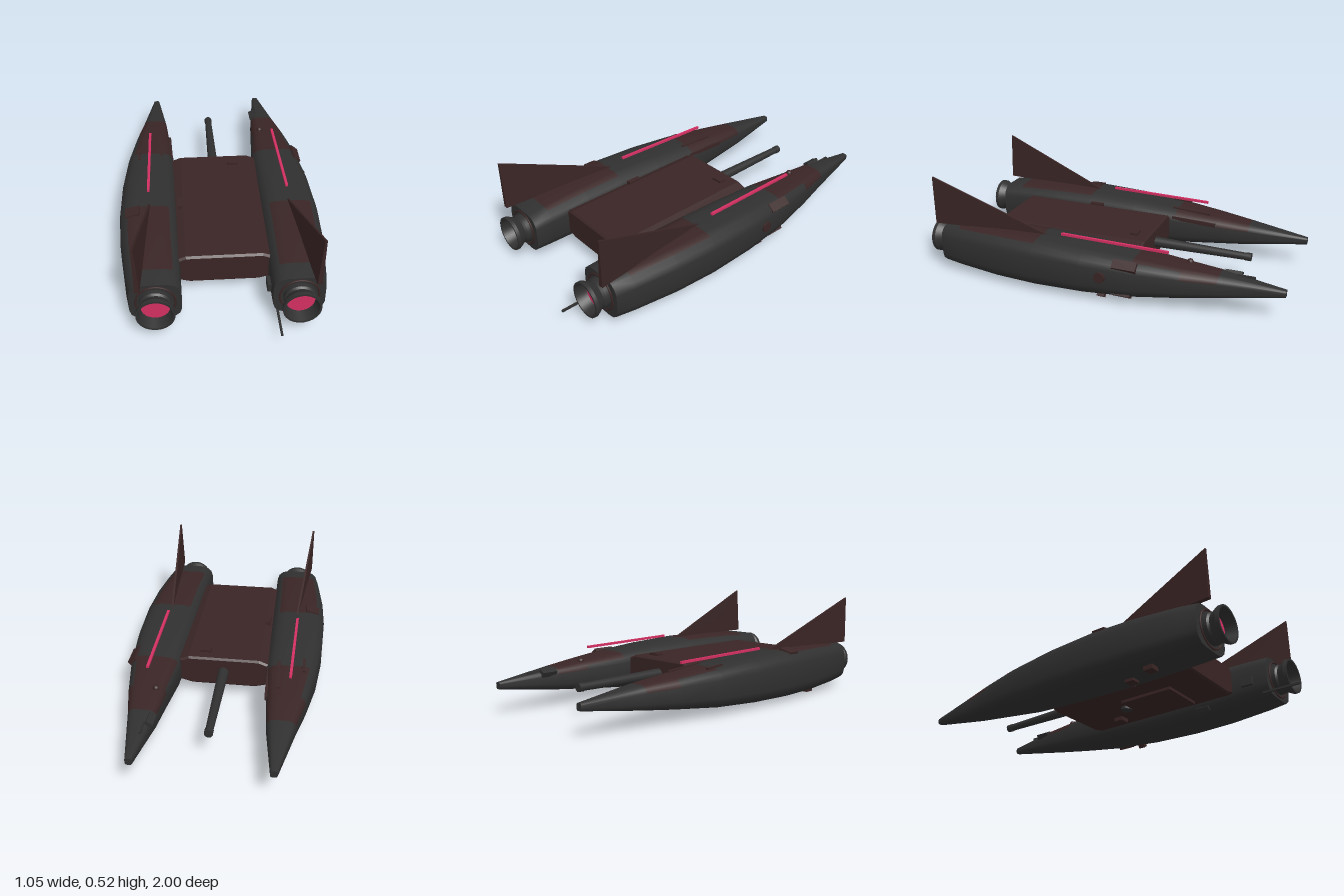
import * as THREE from 'three';
import { toCreasedNormals } from 'three/addons/utils/BufferGeometryUtils.js';

const mat = (name, color) => {
  const m = new THREE.MeshStandardMaterial({ color });
  m.name = name;
  return m;
};

// Skins a row of rings into a closed solid; s = -1 mirrors it in x. pick(i, j) gives the material index.
function loft(rings, s = 1, pick = () => 0) {
  const buckets = [[], []];
  const tri = (k, a, b, c) => {
    for (const p of s > 0 ? [a, b, c] : [a, c, b]) buckets[k].push(p[0] * s, p[1], p[2]);
  };
  const n = rings[0].length;
  for (let i = 0; i < rings.length - 1; i++) {
    for (let j = 0; j < n; j++) {
      const j2 = (j + 1) % n, k = pick(i, j);
      const [a, b, c, d] = [rings[i][j], rings[i][j2], rings[i + 1][j2], rings[i + 1][j]];
      tri(k, a, b, c);
      tri(k, a, c, d);
    }
  }
  const centre = (r) => [0, 1, 2].map((q) => r.reduce((t, p) => t + p[q], 0) / n);
  const first = rings[0], last = rings[rings.length - 1];
  for (let j = 0; j < n; j++) {
    const j2 = (j + 1) % n;
    tri(0, centre(first), first[j2], first[j]);
    tri(0, centre(last), last[j], last[j2]);
  }
  const g = new THREE.BufferGeometry();
  g.setAttribute('position', new THREE.Float32BufferAttribute(buckets.flat(), 3));
  g.addGroup(0, buckets[0].length / 3, 0);
  if (buckets[1].length) g.addGroup(buckets[0].length / 3, buckets[1].length / 3, 1);
  return toCreasedNormals(g, 0.75);
}

// Rounded-rectangle hull section with 16 points
function section([z, x0, x1, y0, y1]) {
  const cx = (x0 + x1) / 2, cy = (y0 + y1) / 2, w = (x1 - x0) / 2, h = (y1 - y0) / 2, f = 0.55;
  const pts = [];
  for (let q = 0; q < 4; q++) {
    const sx = q === 0 || q === 3 ? 1 : -1, sy = q < 2 ? 1 : -1;
    for (let k = 0; k < 4; k++) {
      const a = (q + k / 3) * Math.PI / 2;
      pts.push([cx + w * (sx * (1 - f) + f * Math.cos(a)), cy + h * (sy * (1 - f) + f * Math.sin(a)), z]);
    }
  }
  return pts;
}

export function createModel() {
  const root = new THREE.Group();
  const grey = mat('hull grey', 0x303030);
  const maroon = mat('dark maroon', 0x3a2525);
  const pink = mat('glow pink', 0xd43062);

  const add = (name, geo, m, pos = [0, 0, 0], rot = [0, 0, 0]) => {
    const mesh = new THREE.Mesh(geo, m);
    mesh.name = name;
    mesh.position.set(...pos);
    mesh.rotation.set(...rot);
    root.add(mesh);
    return mesh;
  };
  const box = (name, m, pos, size, rot) => add(name, new THREE.BoxGeometry(...size), m, pos, rot);

  // Hull stations: z, inner x, outer x, bottom y, top y
  const stations = [
    [-1, 0.312, 0.346, 0.13, 0.165],
    [-0.68, 0.268, 0.409, 0.085, 0.203],
    [-0.5, 0.253, 0.45, 0.064, 0.219],
    [-0.26, 0.23, 0.493, 0.038, 0.24],
    [0, 0.226, 0.517, 0.024, 0.257],
    [0.27, 0.223, 0.523, 0.018, 0.267],
    [0.5, 0.22, 0.511, 0.02, 0.266],
    [0.74, 0.217, 0.482, 0.03, 0.258],
    [0.84, 0.216, 0.465, 0.037, 0.25],
  ];
  // Maroon panels on the upper facets
  const panel = (i, j) =>
    (i === 1 && j <= 6) || (i === 2 && j >= 2 && j <= 5) || ((i === 5 || i === 6) && j >= 2 && j <= 4) ? 1 : 0;

  // Engine bell, open to the rear
  const bell = new THREE.LatheGeometry([
    [0, 0], [0.078, 0], [0.078, 0.025], [0.07, 0.035], [0.092, 0.075], [0.092, 0.093], [0.082, 0.093], [0.069, 0.03],
  ].map(([r, y]) => new THREE.Vector2(r, y)), 32);
  const bellGeo = toCreasedNormals(bell, 0.5);
  const bellMat = grey;
  bellMat.side = THREE.DoubleSide;

  for (const s of [1, -1]) {
    const side = s > 0 ? 'left' : 'right';
    add(side + 'Hull', loft(stations.map(section), s, panel), [grey, maroon]);

    // Engine
    add(side + 'EngineBell', bellGeo, bellMat, [s * 0.34, 0.145, 0.838], [Math.PI / 2, 0, 0]);
    add(side + 'EngineRing', new THREE.TorusGeometry(0.094, 0.005, 6, 32), maroon, [s * 0.34, 0.145, 0.842]);
    add(side + 'EngineGlow', new THREE.CircleGeometry(0.069, 32), pink, [s * 0.34, 0.145, 0.875]);

    // Canted tail fin
    const fin = [-1, 1].map((d) => [
      [0.42 + d * 0.012, 0.255, 0.89],
      [0.366 + d * 0.006, 0.262, 0.24],
      [0.427 + d * 0.005, 0.518, 0.89],
    ]);
    add(side + 'TailFin', loft(fin, s), maroon);

    // Glowing strip above the hull
    box(side + 'GlowStrip', pink, [s * 0.368, 0.28, -0.13], [0.014, 0.012, 0.58], [-0.014, s * 0.012, 0]);
  }

  // Central deck between the hulls
  const outline = [[-0.24, 0.085], [-0.17, 0.066], [0.17, 0.066], [0.24, 0.085], [0.24, 0.21], [0.19, 0.23], [-0.19, 0.23], [-0.24, 0.21]]
    .map(([x, y]) => new THREE.Vector2(x, y));
  add('centreDeck', new THREE.ExtrudeGeometry(new THREE.Shape(outline), {
    depth: 0.85, bevelThickness: 0.01, bevelSize: 0.01, bevelOffset: -0.01, bevelSegments: 1,
  }), maroon, [0, 0, -0.22]);

  // Forward barrel
  add('forwardBarrel', new THREE.CylinderGeometry(0.029, 0.019, 0.55, 20), grey, [0, 0.15, -0.485], [Math.PI / 2, 0, 0]);
  add('barrelMuzzle', new THREE.CylinderGeometry(0.022, 0.022, 0.03, 20), grey, [0, 0.15, -0.745], [Math.PI / 2, 0, 0]);

  // Rear antenna and its mount
  box('rearAntenna', grey, [0.24, 0.05, 0.9], [0.01, 0.01, 0.2]);
  box('antennaMount', grey, [0.212, 0.12, 0.73], [0.026, 0.045, 0.065]);

  // Boxes on the hulls and deck: material, position, size, roll
  [
    [maroon, [-0.452, 0.258, 0.31], [0.075, 0.025, 0.07], 0.25],
    [maroon, [0.472, 0.212, -0.23], [0.05, 0.04, 0.125], -0.7],
    [maroon, [0.465, 0.057, -0.21], [0.045, 0.03, 0.1], 0.6],
    [maroon, [-0.205, 0.226, 0.21], [0.025, 0.028, 0.075], 0],
    [maroon, [0.105, 0.234, -0.15], [0.06, 0.016, 0.04], 0],
    [maroon, [-0.4, 0.015, 0.55], [0.05, 0.03, 0.05], 0],
    [maroon, [-0.34, 0.018, 0.4], [0.048, 0.026, 0.05], 0],
    [grey, [0.285, 0.185, -0.735], [0.036, 0.03, 0.085], 0.5],
    [grey, [0.31, 0.19, -0.8], [0.01, 0.012, 0.09], 0],
    [maroon, [-0.225, 0.06, 0.3], [0.025, 0.025, 0.07], -0.6],
    [grey, [0.24, 0.05, 0.45], [0.03, 0.025, 0.08], 0.6],
    [maroon, [0.46, 0.03, -0.1], [0.025, 0.025, 0.04], 0.6],
  ].forEach(([m, p, size, roll], i) => box('equipmentBox' + (i + 1), m, p, size, [0, 0, roll]));

  // Rails on the right hull
  [[-0.302, 0.229, -0.34, 0.22], [-0.245, 0.195, -0.37, 0.25], [-0.427, 0.237, -0.25, 0.11]].forEach(([x, y, z, l], i) =>
    box('hullRail' + (i + 1), maroon, [x, y, z], [0.014, 0.02, l], [-0.06, 0.03, 0]));

  // Round hatch and sensor dome on the left hull
  add('roundHatch', new THREE.CylinderGeometry(0.028, 0.028, 0.03, 20), maroon, [0.505, 0.148, -0.11], [0, 0, Math.PI / 2]);
  add('sensorDome', new THREE.SphereGeometry(0.017, 16, 10), maroon, [0.303, 0.217, -0.515]);

  // Panels under the deck
  box('bellyPlate', maroon, [0.035, 0.059, 0.3], [0.24, 0.016, 0.3]);
  box('bellyBox', maroon, [0.115, 0.056, 0.0], [0.06, 0.022, 0.05]);
  add('bellyPort', new THREE.CylinderGeometry(0.03, 0.03, 0.016, 20), grey, [0, 0.055, 0.12]);

  return root;
}
